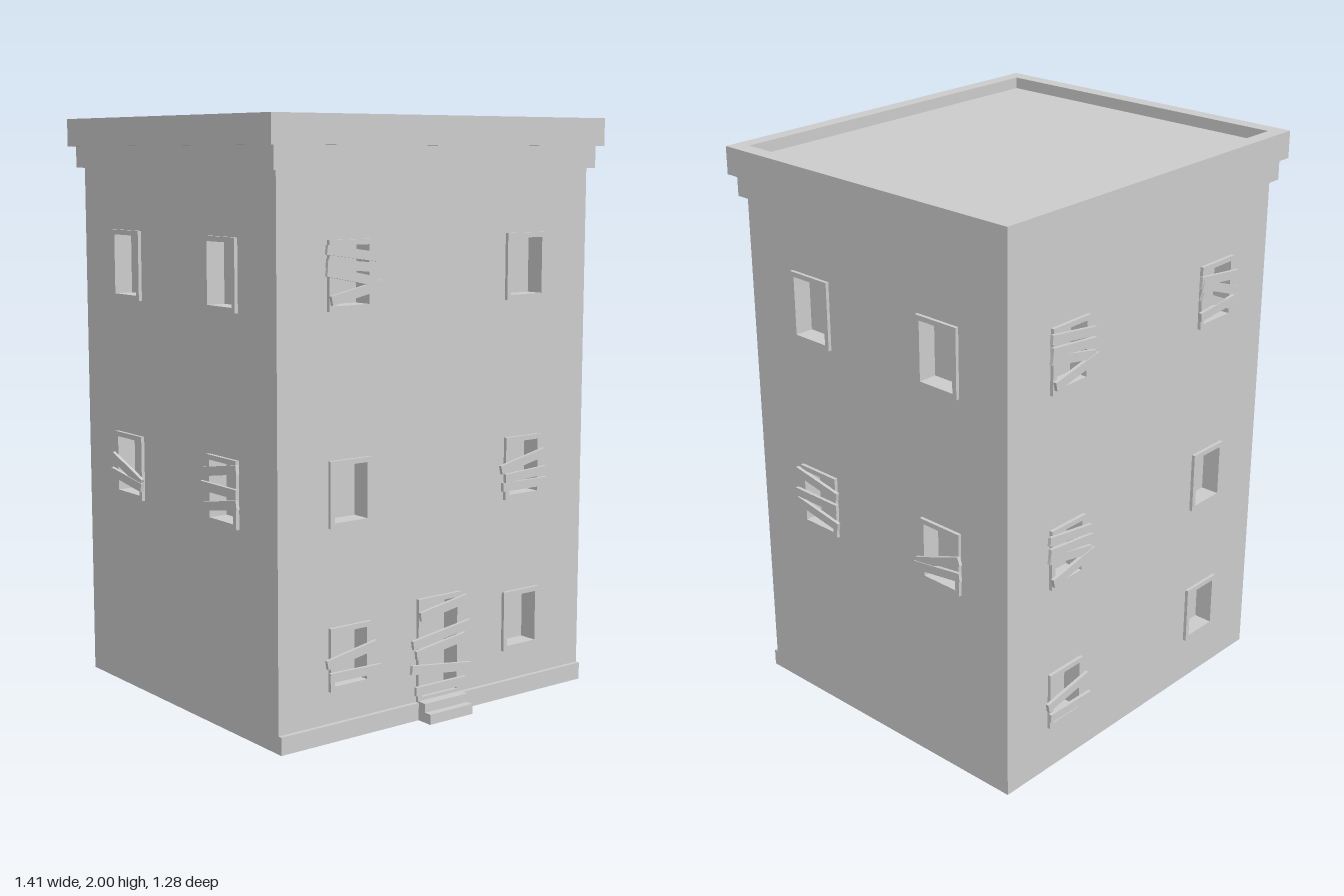
import * as THREE from 'three';

const material = new THREE.MeshStandardMaterial({ color: 0xcccccc });
const W = 1.32, D = 1.17, WALL_H = 1.84, RECESS = 0.055;

function add(parent, name, geometry, x = 0, y = 0, z = 0) {
  const mesh = new THREE.Mesh(geometry, material);
  mesh.name = name;
  mesh.position.set(x, y, z);
  parent.add(mesh);
  return mesh;
}

function box(parent, name, w, h, d, x, y, z) {
  return add(parent, name, new THREE.BoxGeometry(w, h, d), x, y, z);
}

function rect(Type, x0, y0, x1, y1) {
  const s = new Type();
  s.moveTo(x0, y0);
  s.lineTo(x1, y0);
  s.lineTo(x1, y1);
  s.lineTo(x0, y1);
  s.closePath();
  return s;
}

const extrude = (shape, depth) => new THREE.ExtrudeGeometry(shape, { depth, bevelEnabled: false });

// One opening: centre u, v, outer frame size w, h, and planks [du, dv, degrees, length]
const win = (u, v, w, h, planks = []) => ({ u, v, w, h, planks });

// A wall with recessed openings; its outer face lies at local z = 0
function facade(parent, name, width, openings) {
  const group = new THREE.Group();
  group.name = name;
  const wall = rect(THREE.Shape, -width / 2, 0, width / 2, WALL_H);
  const rim = 0.017;
  for (const { u, v, w, h, planks, door } of openings) {
    const hole = () => rect(THREE.Path, u - w / 2 + rim, v - h / 2 + rim, u + w / 2 - rim, v + h / 2 - rim);
    wall.holes.push(hole());
    const frame = rect(THREE.Shape, u - w / 2, v - h / 2, u + w / 2, v + h / 2);
    frame.holes.push(hole());
    add(group, door ? 'doorFrame' : 'windowFrame', extrude(frame, 0.012));
    // Boards nailed across the opening
    planks.forEach(([du, dv, deg, len = 0.207], i) => {
      const plank = box(group, 'plank', len, 0.03, 0.012, u + du, v + dv, 0.017 + (i % 2) * 0.003);
      plank.rotation.z = THREE.MathUtils.degToRad(deg);
    });
  }
  add(group, name + 'Wall', extrude(wall, RECESS), 0, 0, -RECESS);
  parent.add(group);
  return group;
}

// Board arrangements
const slanted = [[0, 0.068, -8], [0, 0.03, -6], [0, -0.005, -11], [0.015, -0.055, 12]];
const level = [[-0.01, 0.022, 12], [0, -0.025, 3, 0.19], [0, -0.06, 0]];
const pair = [[0, 0.008, 10], [0.01, -0.055, -1]];
const crossed = [[0, 0.055, -7], [0, 0.02, -20], [0, -0.03, -24], [0, -0.05, 5]];
const three = [[0, 0.07, -10], [0, 0.008, 0], [0, -0.045, -10]];
const steep = [[0, -0.012, 20], [0, -0.047, 8]];
const doorBoards = [[0.01, 0.135, 9], [0, 0.045, 8, 0.255], [0, 0.005, 8, 0.22], [0, -0.072, -7, 0.265], [0, -0.135, 0, 0.22]];

export function createModel() {
  const model = new THREE.Group();
  model.name = 'boardedBuilding';
  const building = new THREE.Group();
  building.name = 'building';
  building.position.z = -0.015;
  model.add(building);

  // Inner core closes the openings from behind
  box(building, 'core', W - 2 * RECESS, WALL_H, D - 2 * RECESS, 0, WALL_H / 2, 0);

  // Front wall with door
  const door = { ...win(-0.002, 0.237, 0.187, 0.354, doorBoards), door: true };
  facade(building, 'front', W, [
    win(-0.38, 1.503, 0.175, 0.222, slanted), win(0.372, 1.503, 0.175, 0.225),
    win(-0.38, 0.811, 0.165, 0.217), win(0.372, 0.811, 0.165, 0.217, level),
    win(-0.38, 0.272, 0.165, 0.21, pair), win(0.372, 0.272, 0.165, 0.21), door,
  ]).position.z = D / 2;

  // Back wall
  const back = facade(building, 'back', W, [
    win(-0.38, 1.503, 0.175, 0.222, slanted), win(0.372, 1.503, 0.175, 0.222, crossed),
    win(-0.38, 0.811, 0.165, 0.217, slanted), win(0.372, 0.811, 0.165, 0.217),
    win(-0.38, 0.272, 0.165, 0.21, pair), win(0.372, 0.272, 0.165, 0.21),
  ]);
  back.rotation.y = Math.PI;
  back.position.z = -D / 2;

  // Side walls mirror each other
  for (const s of [1, -1]) {
    const flip = (planks) => planks.map(([u, v, a, l]) => [u * s, v, a * s, l]);
    const side = facade(building, s > 0 ? 'left' : 'right', D - 2 * RECESS, [
      win(-0.288 * s, 1.501, 0.175, 0.238), win(0.295 * s, 1.501, 0.175, 0.238),
      win(-0.288 * s, 0.8, 0.172, 0.225, flip(three)), win(0.295 * s, 0.8, 0.175, 0.225, flip(steep)),
    ]);
    side.rotation.y = s * Math.PI / 2;
    side.position.x = s * W / 2;
  }

  // Plinth and door steps
  box(building, 'plinth', W, 0.06, 0.015, 0, 0.03, D / 2 + 0.0075);
  box(building, 'lowerStep', 0.187, 0.035, 0.075, -0.002, 0.0175, D / 2 + 0.0375);
  box(building, 'upperStep', 0.187, 0.03, 0.048, -0.002, 0.05, D / 2 + 0.024);

  // Cornice, flat roof and parapet
  box(building, 'lowerCornice', 1.365, 0.075, 1.21, 0, 1.8675, 0);
  box(building, 'roof', 1.32, 0.06, 1.17, 0, 1.93, 0);
  const parapet = rect(THREE.Shape, -0.705, -0.625, 0.705, 0.625);
  parapet.holes.push(rect(THREE.Path, -0.65, -0.573, 0.65, 0.573));
  add(building, 'parapet', extrude(parapet, 0.095).rotateX(-Math.PI / 2), 0, 1.905, 0);

  return model;
}
